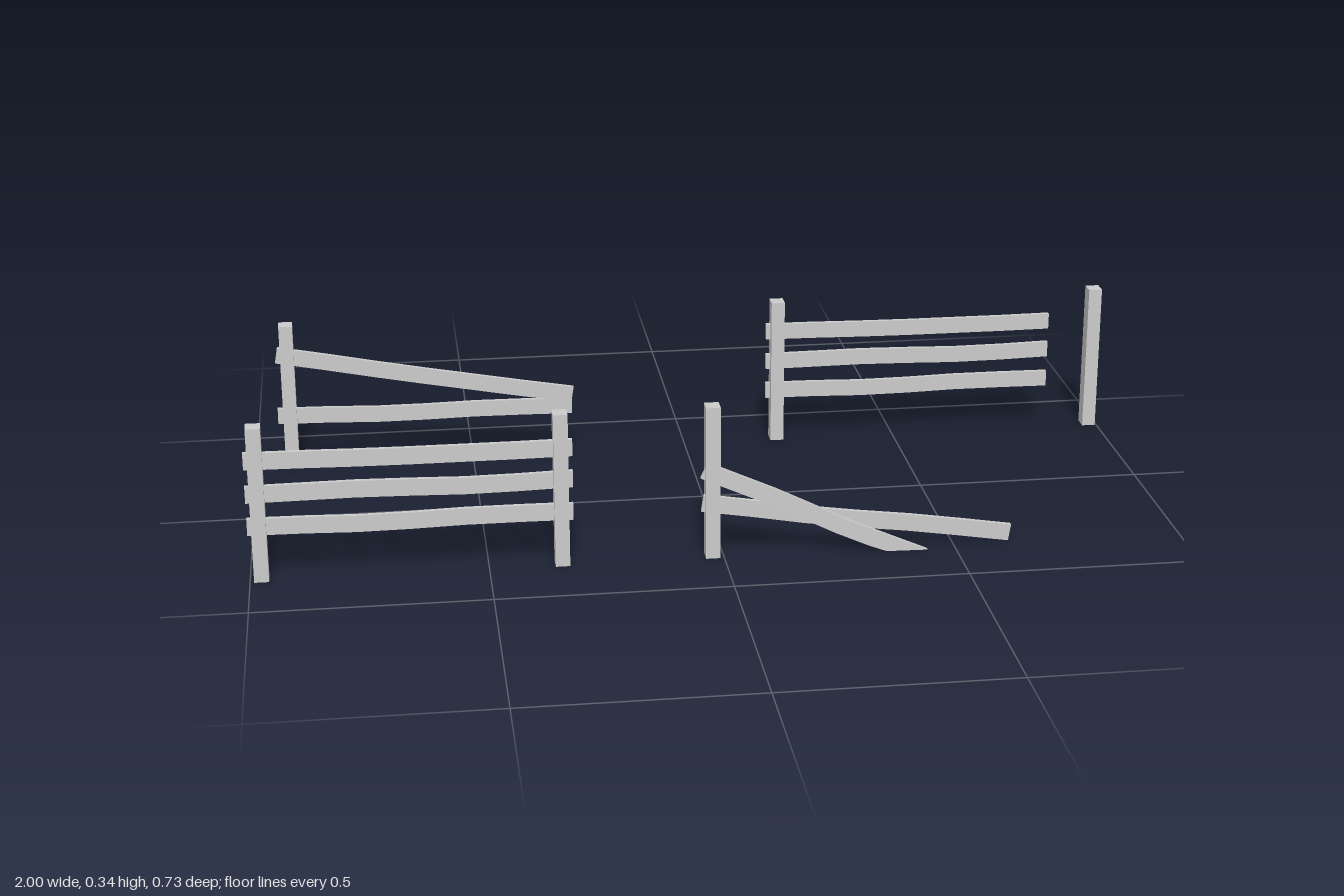
import * as THREE from 'three';

const material = new THREE.MeshStandardMaterial({ color: 0xcccccc, flatShading: true });
const POST_HEIGHT = 0.342, RAIL_HEIGHT = 0.037, RAIL_DEPTH = 0.01;

// slight warps of a hand-hewn plank, as height offsets along its length
const warps = {
  top: [0.002, 0.001, -0.001, -0.002, -0.002, -0.002, -0.001],
  middle: [0, 0.001, 0.002, 0, -0.003, -0.002, 0.001],
  bottom: [0.001, 0, -0.003, -0.002, 0.001, 0.001, 0],
};

function addPost(group, x, z) {
  const post = new THREE.Mesh(new THREE.BoxGeometry(0.031, POST_HEIGHT, 0.035), material);
  post.name = 'post';
  post.position.set(x, POST_HEIGHT / 2, z);
  group.add(post);
}

// plank between two points; cutAtGround trims its far end flush with y = 0
function addRail(group, name, from, to, warp, cutAtGround = false) {
  const a = new THREE.Vector3(...from), b = new THREE.Vector3(...to);
  const dir = b.clone().sub(a), length = dir.length();
  dir.normalize();
  const steps = warp.length - 1;
  const geometry = new THREE.BoxGeometry(length, RAIL_HEIGHT, RAIL_DEPTH, steps, 1, 1);
  const up = new THREE.Vector3(-dir.y, dir.x, 0).normalize();
  const side = new THREE.Vector3().crossVectors(dir, up);
  const position = geometry.attributes.position, p = new THREE.Vector3();
  for (let i = 0; i < position.count; i++) {
    const t = position.getX(i) / length + 0.5;
    const y = position.getY(i) + warp[Math.round(t * steps)];
    p.copy(a).addScaledVector(dir, t * length)
      .addScaledVector(up, y).addScaledVector(side, position.getZ(i));
    if (cutAtGround && t > 0.99) p.addScaledVector(dir, -p.y / dir.y);
    position.setXYZ(i, p.x, p.y, p.z);
  }
  geometry.computeVertexNormals();
  const rail = new THREE.Mesh(geometry, material);
  rail.name = name;
  group.add(rail);
}

function addLevelRails(group, x0, x1, z) {
  const heights = { top: 0.265, middle: 0.193, bottom: 0.12 };
  for (const [level, y] of Object.entries(heights)) {
    addRail(group, level + 'Rail', [x0, y, z], [x1, y, z], warps[level]);
  }
}

export function createModel() {
  const model = new THREE.Group();
  model.name = 'brokenFences';
  const section = (name) => {
    const group = new THREE.Group();
    group.name = name;
    model.add(group);
    return group;
  };

  // complete panel with two posts
  const whole = section('wholeFence');
  addPost(whole, -0.976, 0.333);
  addPost(whole, -0.345, 0.333);
  addLevelRails(whole, -1, -0.32, 0.335);

  // panel whose rails stop short of the far post
  const gap = section('gappedFence');
  addPost(gap, 0.221, -0.344);
  addPost(gap, 0.981, -0.344);
  addLevelRails(gap, 0.195, 0.874, -0.346);

  // single post with its upper rail drooping
  const drooping = section('droopingFence');
  addPost(drooping, -0.917, -0.319);
  addRail(drooping, 'fallenRail', [-0.942, 0.266, -0.323], [-0.266, 0.152, -0.297], warps.top);
  addRail(drooping, 'bottomRail', [-0.945, 0.12, -0.32], [-0.266, 0.115, -0.32], warps.bottom);

  // single post with both rails fallen to the ground
  const collapsed = section('collapsedFence');
  addPost(collapsed, -0.024, 0.333);
  addRail(collapsed, 'fallenRail', [-0.042, 0.198, 0.337], [0.392, 0, 0.357], warps.middle, true);
  addRail(collapsed, 'bottomRail', [-0.046, 0.123, 0.338], [0.623, 0.021, 0.338], warps.bottom);

  return model;
}
